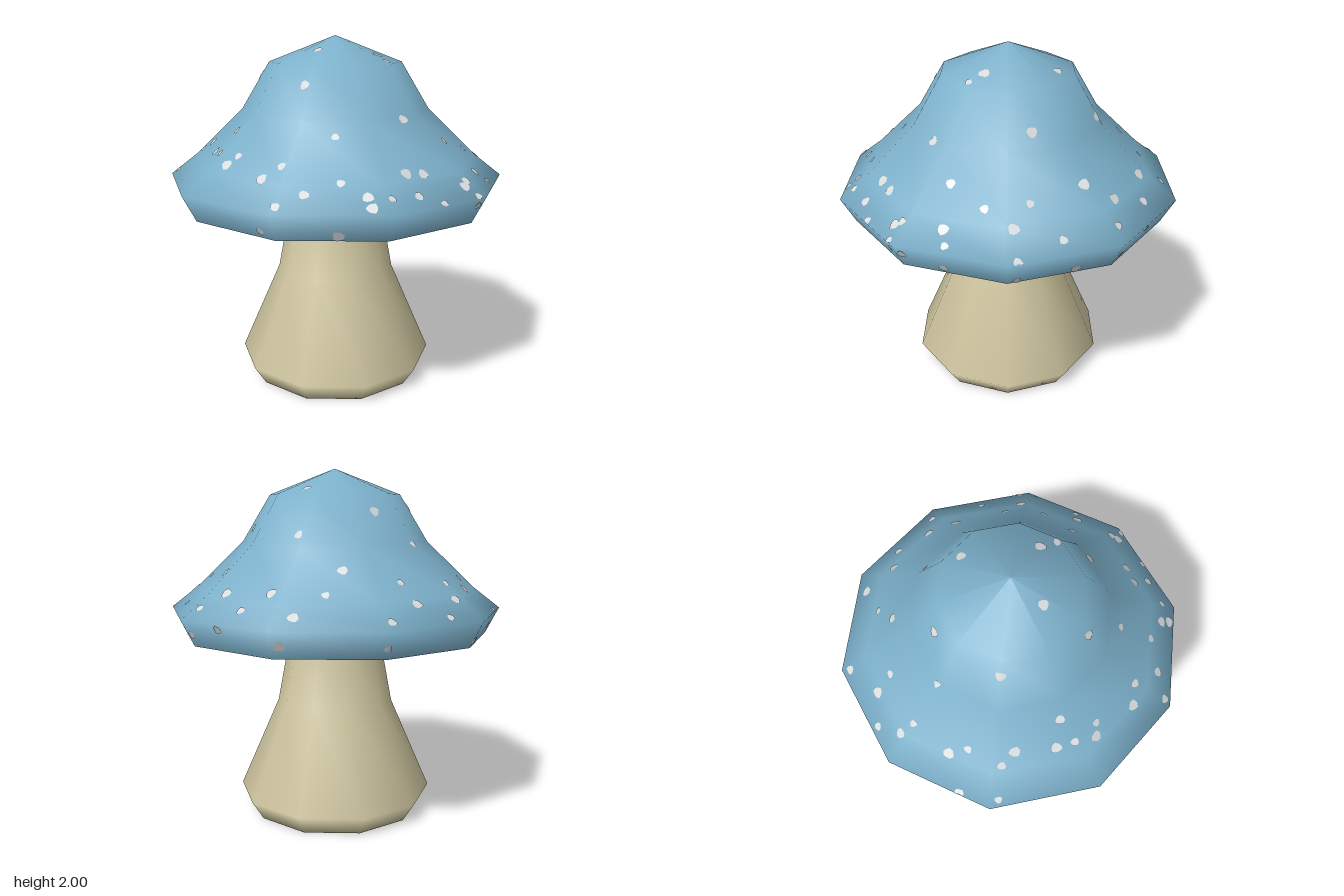
import * as THREE from 'three';

const SIDES = 10;
const STEP = (Math.PI * 2) / SIDES;
const APOTHEM = Math.cos(STEP / 2);

// Upper cap outline as [radius, height], from lower rim to tip
const CAP = [[0.89, 1.06], [0.965, 1.205], [0.81, 1.325], [0.535, 1.59], [0.375, 1.855], [0, 2]];
const STEM = [[0, 0], [0.5, 0], [0.57, 0.11], [0.34, 0.64], [0.275, 0.99]];
const GILL_RADIUS = 0.71;

// Spots seen from above as x, z pairs
const TOP_SPOTS = [
  -0.30, -0.86, 0.17, -0.85, 0.02, -0.74, 0.29, -0.70, 0.44, -0.71, -0.60, -0.65,
  -0.43, -0.67, -0.35, -0.60, -0.06, -0.63, -0.64, -0.51, -0.60, -0.44, 0.54, -0.54,
  0.68, -0.55, 0.17, -0.47, 0.57, -0.38, -0.43, -0.32, -0.22, -0.35, 0.14, -0.26,
  0.81, -0.27, -0.72, -0.24, -0.70, -0.14, -0.90, -0.17, 0.45, -0.12, 0.70, -0.11,
  0.81, -0.03, 0.94, -0.05, -0.76, 0.04, -0.69, 0.10, -0.915, 0.04, -0.42, 0,
  -0.09, 0.165, 0.28, 0.20, 0.23, 0.12, 0.72, 0.11, 0.59, 0.28, 0.76, 0.31,
  0.83, 0.30, -0.64, 0.31, -0.52, 0.31, -0.60, 0.40, -0.55, 0.51, -0.49, 0.50,
  -0.15, 0.40, 0.36, 0.38, 0.01, 0.58, -0.35, 0.695, -0.25, 0.69, 0.68, 0.52,
  0.67, 0.56, 0.74, 0.58, 0.45, 0.61, 0.42, 0.75, 0.55, 0.72, 0.36, 0.66,
  0.04, 0.77, -0.135, 0.825, 0.17, 0.835, 0.285, 0.835, 0.19, 0.885, -0.27, 0.88,
];
// Spots on the turned-under rim as angle in degrees, height
const RIM_SPOTS = [
  113, 1.1, 88, 1.09, 38, 1.17, 34, 1.155, 21, 1.1, -3, 1.08, -23, 1.09,
  -38, 1.13, -52, 1.18, -75, 1.13, -108, 1.12, -145, 1.1, -165, 1.14, 170, 1.12,
];

const points = (list) => list.map(([r, y]) => new THREE.Vector2(r, y));

// Smooth ten-sided turned shape with a corner on the x axis
const turned = (list) => new THREE.LatheGeometry(points(list), SIDES, Math.PI / 2);

// Ratio of the ten-sided outline to its corner radius at an angle
function outline(angle) {
  const a = ((angle % STEP) + STEP) % STEP;
  return APOTHEM / Math.cos(a - STEP / 2);
}

// Linear lookup in the cap outline: from = 0 by radius, 1 by height
function lookup(value, from, start) {
  for (let i = start; i < CAP.length - 1; i++) {
    const a = CAP[i], b = CAP[i + 1];
    const t = (value - a[from]) / (b[from] - a[from]);
    if (t <= 1 || i === CAP.length - 2) {
      return THREE.MathUtils.lerp(a[1 - from], b[1 - from], THREE.MathUtils.clamp(t, 0, 1));
    }
  }
}

function capPoint(angle, y) {
  const r = lookup(y, 1, 0) * outline(angle);
  return new THREE.Vector3(r * Math.cos(angle), y, r * Math.sin(angle));
}

// Underside ring: ten-sided at one edge, round at the edge where the colours meet
function undersideRing(list) {
  const geo = new THREE.LatheGeometry(points(list), SIDES * 2, Math.PI / 2);
  const p = geo.attributes.position;
  for (let i = 0; i < p.count; i++) {
    const column = Math.floor(i / list.length);
    const round = list[i % list.length][0] === GILL_RADIUS;
    if (column % 2 && !round) {
      p.setX(i, p.getX(i) * APOTHEM);
      p.setZ(i, p.getZ(i) * APOTHEM);
    }
  }
  return geo;
}

// Thin patches that follow the cap surface
function spotsGeometry() {
  const spots = [];
  for (let i = 0; i < TOP_SPOTS.length; i += 2) {
    const x = TOP_SPOTS[i], z = TOP_SPOTS[i + 1], angle = Math.atan2(z, x);
    spots.push([angle, lookup(Math.hypot(x, z) / outline(angle), 0, 1)]);
  }
  for (let i = 0; i < RIM_SPOTS.length; i += 2) {
    spots.push([THREE.MathUtils.degToRad(RIM_SPOTS[i]), RIM_SPOTS[i + 1]]);
  }
  const positions = [], index = [], N = 9;
  spots.forEach(([angle, y], s) => {
    const e = 0.004;
    const centre = capPoint(angle, y);
    const u = capPoint(angle + e, y).sub(capPoint(angle - e, y)).normalize();
    const up = capPoint(angle, y + e).sub(capPoint(angle, y - e));
    const n = up.cross(u).normalize();
    const v = n.clone().cross(u);
    const size = 0.025 + 0.005 * Math.sin(s * 2.4);
    const base = positions.length / 3;
    const add = (p) => positions.push(...p.addScaledVector(n, 0.004).toArray());
    add(centre.clone());
    for (let k = 0; k < N; k++) {
      const a = (k / N) * Math.PI * 2;
      const r = size * (1 + 0.12 * Math.sin(k * 2.1 + s));
      const q = centre.clone().addScaledVector(u, r * Math.cos(a)).addScaledVector(v, r * Math.sin(a));
      add(capPoint(Math.atan2(q.z, q.x), q.y));
      index.push(base, base + 1 + k, base + 1 + ((k + 1) % N));
    }
  });
  const geo = new THREE.BufferGeometry();
  geo.setAttribute('position', new THREE.Float32BufferAttribute(positions, 3));
  geo.setIndex(index);
  geo.computeVertexNormals();
  return geo;
}

export function createModel() {
  const material = (name, color) => {
    const m = new THREE.MeshStandardMaterial({ color });
    m.name = name;
    return m;
  };
  const blue = material('cap blue', 0x7bafc9);
  const cream = material('stem cream', 0xcfc6a0);
  const white = material('spot white', 0xd8dadb);
  white.side = THREE.DoubleSide;

  const group = new THREE.Group();
  group.name = 'mushroom';
  const add = (name, geometry, mat) => {
    const mesh = new THREE.Mesh(geometry, mat);
    mesh.name = name;
    group.add(mesh);
  };

  add('stem', turned(STEM), cream);
  add('cap', turned(CAP), blue);
  add('capUnderRim', undersideRing([[GILL_RADIUS, 1.039], [0.89, 1.06]]), blue);
  add('gills', undersideRing([[0.2, 0.978], [GILL_RADIUS, 1.039]]), cream);
  add('spots', spotsGeometry(), white);
  return group;
}
